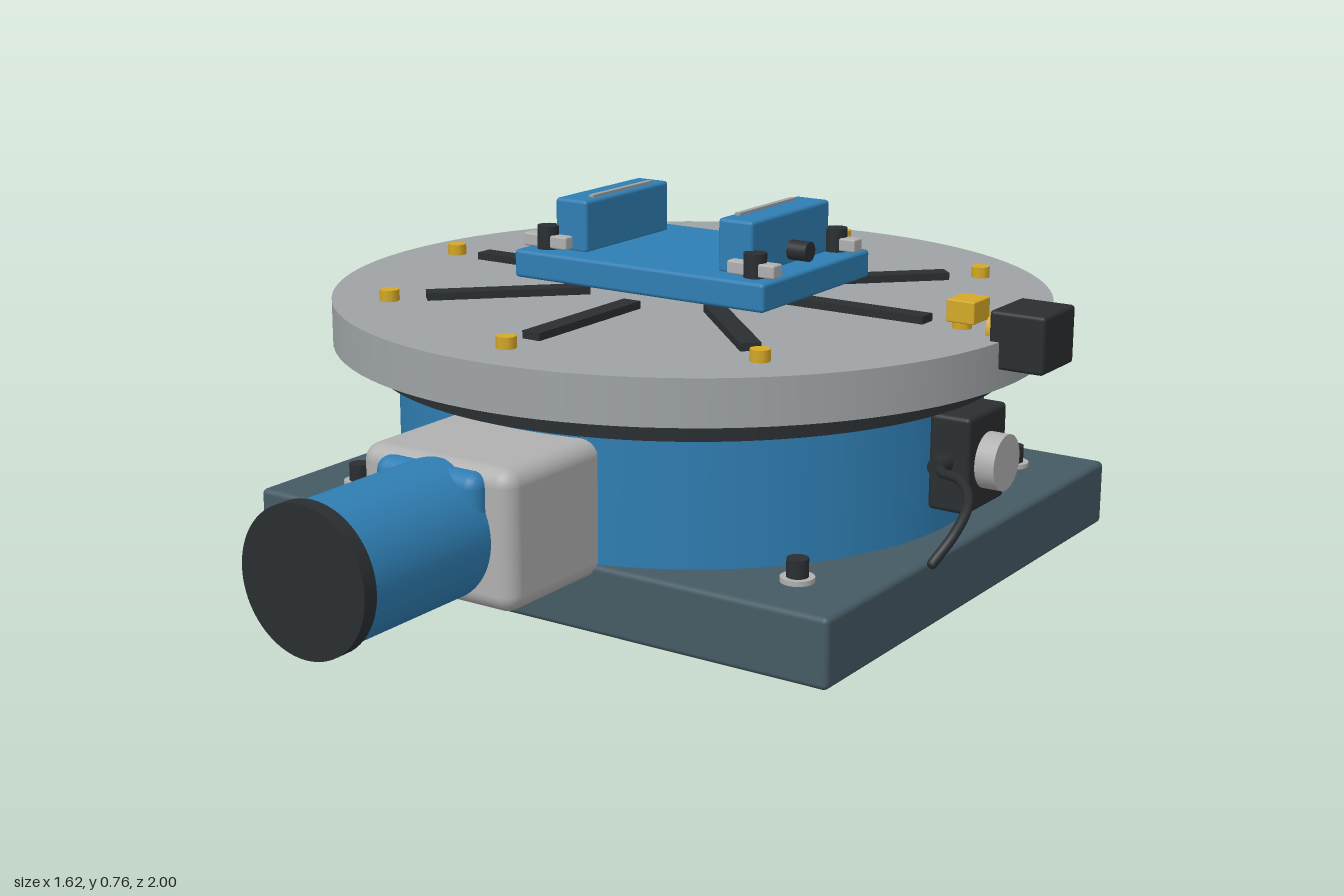
import * as THREE from 'three';
import { RoundedBoxGeometry } from 'three/addons/geometries/RoundedBoxGeometry.js';

const mat = (color) => new THREE.MeshStandardMaterial({ color });

export function createModel() {
  const blue = mat(0x2f7eb3), slate = mat(0x455a64), steel = mat(0x9ea3a5);
  const silver = mat(0xb0b0b0), black = mat(0x2a2e31), brass = mat(0xd4a827);
  const model = new THREE.Group();
  // Everything except the motor is laid out around the turntable axis.
  const table = new THREE.Group();
  table.name = 'rotaryTable';
  table.position.set(-0.048, 0, -0.235);
  model.add(table);

  function add(name, geometry, material, x, y, z, parent = table) {
    const mesh = new THREE.Mesh(geometry, material);
    mesh.name = name;
    mesh.position.set(x, y, z);
    parent.add(mesh);
    return mesh;
  }
  const box = (w, h, d, r = 0.008) => new RoundedBoxGeometry(w, h, d, 3, r);
  // Upright disc given by its bottom and top heights.
  const disc = (name, r, y0, y1, material, x = 0, z = 0, sides = 96) =>
    add(name, new THREE.CylinderGeometry(r, r, y1 - y0, sides), material, x, (y0 + y1) / 2, z);
  const rodX = (r, l) => new THREE.CylinderGeometry(r, r, l, 32).rotateZ(Math.PI / 2);
  const rodZ = (r, l) => new THREE.CylinderGeometry(r, r, l, 64).rotateX(Math.PI / 2);

  // Base plate, drum and platter
  add('basePlate', box(1.405, 0.143, 1.22, 0.012), slate, 0, 0.0715, 0);
  disc('drum', 0.628, 0.125, 0.418, blue);
  disc('bearingRing', 0.682, 0.415, 0.466, black);
  disc('platter', 0.765, 0.465, 0.56, steel);
  disc('centreHub', 0.107, 0.558, 0.587, brass, 0, 0, 48);

  // Base bolts
  for (const sx of [-1, 1]) for (const sz of [-1, 1]) {
    disc('baseWasher', 0.034, 0.142, 0.153, silver, sx * 0.55, sz * 0.463, 24);
    disc('baseBolt', 0.022, 0.15, 0.19, black, sx * 0.55, sz * 0.463, 16);
  }

  // Radial slots and index studs
  for (let i = 0; i < 8; i++) {
    const a = i * Math.PI / 4;
    const slot = add('slot', new THREE.BoxGeometry(0.345, 0.02, 0.042), black,
      Math.cos(a) * 0.395, 0.566, -Math.sin(a) * 0.395);
    slot.rotation.y = a;
    disc('indexStud', 0.021, 0.555, 0.584, brass, Math.cos(a) * 0.645, -Math.sin(a) * 0.645, 8);
  }

  // Fixture plate with two mirrored jaws, clamps and knobs
  add('fixturePlate', box(0.625, 0.06, 0.43), blue, 0, 0.615, 0);
  for (const s of [-1, 1]) {
    add('jaw', box(0.082, 0.113, 0.31), blue, s * 0.206, 0.698, 0);
    add('jawStrip', new THREE.BoxGeometry(0.012, 0.02, 0.22), steel, s * 0.184, 0.75, 0);
    add('jawKnob', rodX(0.021, 0.06), black, s * 0.262, 0.673, 0);
    for (const z of [-0.162, 0.162]) {
      add('clamp', box(0.112, 0.028, 0.034, 0.004), silver, s * 0.258, 0.662, z);
      disc('clampBolt', 0.024, 0.645, 0.695, black, s * 0.26, z, 24);
    }
  }

  // Position target and sensor
  add('sensorTarget', box(0.062, 0.046, 0.07, 0.003), brass, 0.657, 0.6, 0);
  add('sensorFace', rodX(0.035, 0.05), brass, 0.738, 0.568, 0);
  add('sensorBody', box(0.118, 0.117, 0.14), black, 0.797, 0.563, 0);

  // Switch box with button, gland and cable
  add('switchBox', box(0.09, 0.2, 0.165, 0.01), black, 0.667, 0.3, 0);
  add('switchButton', rodX(0.058, 0.045), silver, 0.732, 0.298, 0);
  add('cableGland', rodZ(0.018, 0.05), black, 0.66, 0.302, 0.1);
  const path = new THREE.CatmullRomCurve3([
    [0.66, 0.302, 0.08], [0.68, 0.302, 0.14], [0.755, 0.311, 0.2],
    [0.812, 0.295, 0.28], [0.818, 0.255, 0.345], [0.8, 0.208, 0.395],
  ].map((p) => new THREE.Vector3(...p)));
  add('cable', new THREE.TubeGeometry(path, 40, 0.01, 10), black, 0, 0, 0);
  add('cableEnd', new THREE.SphereGeometry(0.01, 10, 8), black, 0.8, 0.208, 0.395);

  // Drive: gearbox, flange, motor and end cap
  const drive = new THREE.Group();
  drive.name = 'drive';
  drive.position.set(-0.048, 0.255, 0);
  model.add(drive);
  add('gearbox', box(0.365, 0.28, 0.33, 0.035), silver, 0, 0, 0.475, drive);
  add('motorFlange', box(0.25, 0.14, 0.06, 0.028), blue, 0, 0.06, 0.64, drive);
  add('motor', rodZ(0.137, 0.36), blue, 0, 0, 0.8, drive);
  add('motorCap', rodZ(0.145, 0.032), black, 0, 0, 0.984, drive);

  return model;
}
